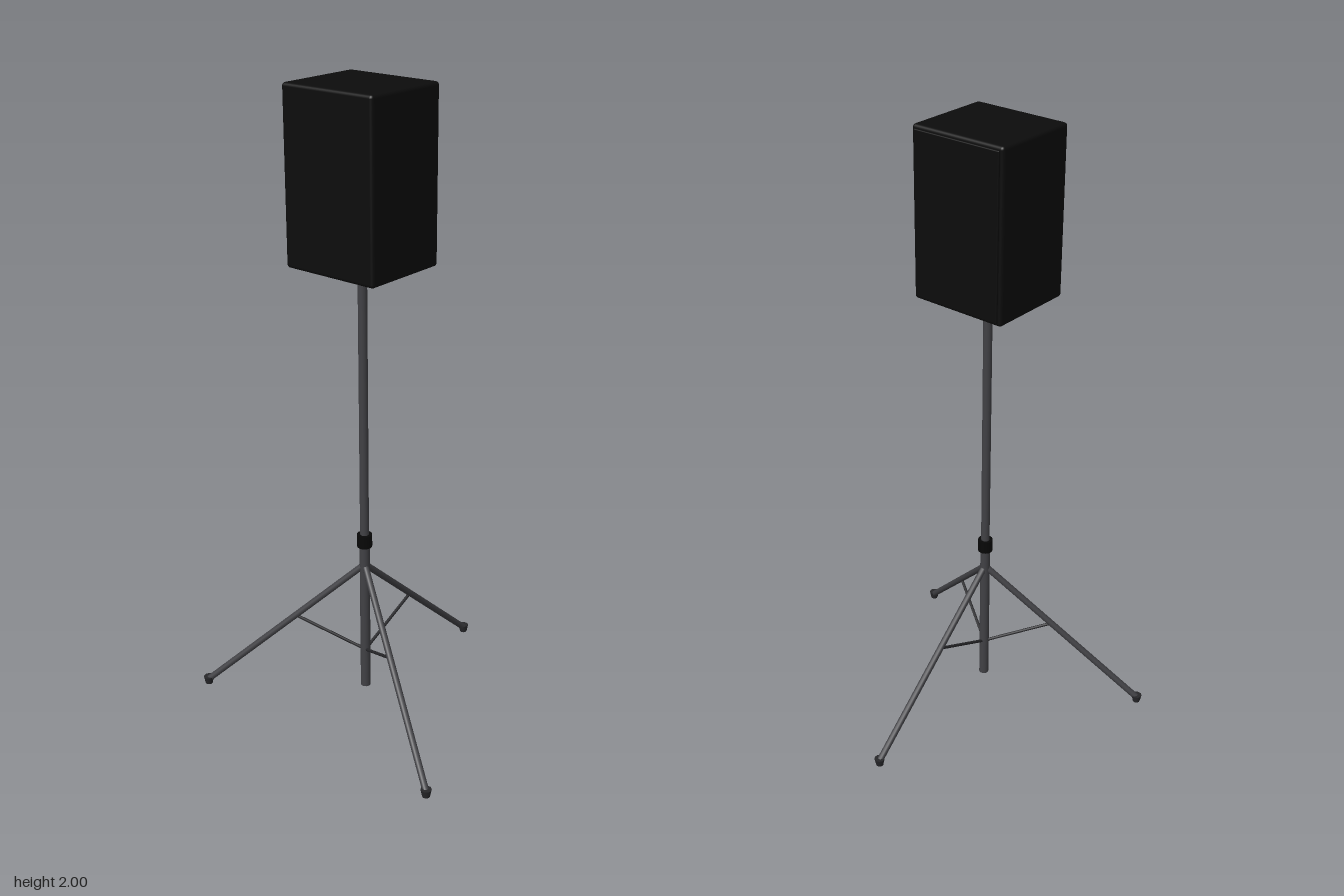
import * as THREE from 'three';
import { RoundedBoxGeometry } from 'three/addons/geometries/RoundedBoxGeometry.js';

const material = (name, color) => {
  const m = new THREE.MeshStandardMaterial({ color });
  m.name = name;
  return m;
};

export function createModel() {
  const cabinetBlack = material('cabinet black', 0x0c0c0c);
  const trimBlack = material('trim black', 0x070707);
  const poleGrey = material('pole grey', 0x414145);
  const rubber = material('rubber dark grey', 0x27272a);

  const model = new THREE.Group();
  model.name = 'speakerOnTripod';
  const poleZ = 0.133;

  const add = (parent, name, geometry, mat, x = 0, y = 0, z = 0) => {
    const mesh = new THREE.Mesh(geometry, mat);
    mesh.name = name;
    mesh.position.set(x, y, z);
    parent.add(mesh);
    return mesh;
  };

  // Round bar between two points
  const bar = (parent, name, a, b, radius, mat, sides = 12) => {
    const dir = b.clone().sub(a);
    const mesh = add(parent, name, new THREE.CylinderGeometry(radius, radius, dir.length(), sides), mat);
    mesh.position.copy(a).addScaledVector(dir, 0.5);
    mesh.quaternion.setFromUnitVectors(new THREE.Vector3(0, 1, 0), dir.normalize());
  };

  // Speaker cabinet with a slightly inset panel on the -z side
  add(model, 'cabinet', new RoundedBoxGeometry(0.326, 0.526, 0.29, 3, 0.01), cabinetBlack, 0, 1.737, 0.133);
  add(model, 'grille', new RoundedBoxGeometry(0.304, 0.504, 0.014, 2, 0.003), cabinetBlack, 0, 1.737, -0.011);

  // Stand, with its origin on the pole axis
  const stand = new THREE.Group();
  stand.name = 'tripodStand';
  stand.position.z = poleZ;
  model.add(stand);
  const at = (r, y) => new THREE.Vector3(0, y, -r);
  bar(stand, 'lowerPole', at(0, 0.055), at(0, 0.6), 0.016, poleGrey, 16);
  bar(stand, 'upperPole', at(0, 0.6), at(0, 1.48), 0.014, poleGrey, 16);
  add(stand, 'collar', new THREE.CylinderGeometry(0.024, 0.024, 0.042, 16), trimBlack, 0, 0.586, 0);

  // Three identical legs, each with a brace and a foot
  for (let i = 0; i < 3; i++) {
    const leg = new THREE.Group();
    leg.name = 'leg' + (i + 1);
    leg.rotation.y = (i * Math.PI * 2) / 3;
    stand.add(leg);
    bar(leg, 'legTube', at(0, 0.5), at(0.533, 0.015), 0.0105, poleGrey);
    bar(leg, 'brace', at(0, 0.187), at(0.226, 0.291), 0.005, rubber, 8);
    add(leg, 'foot', new THREE.CylinderGeometry(0.017, 0.012, 0.025, 10), rubber, 0, 0.0125, -0.533);
  }

  return model;
}
